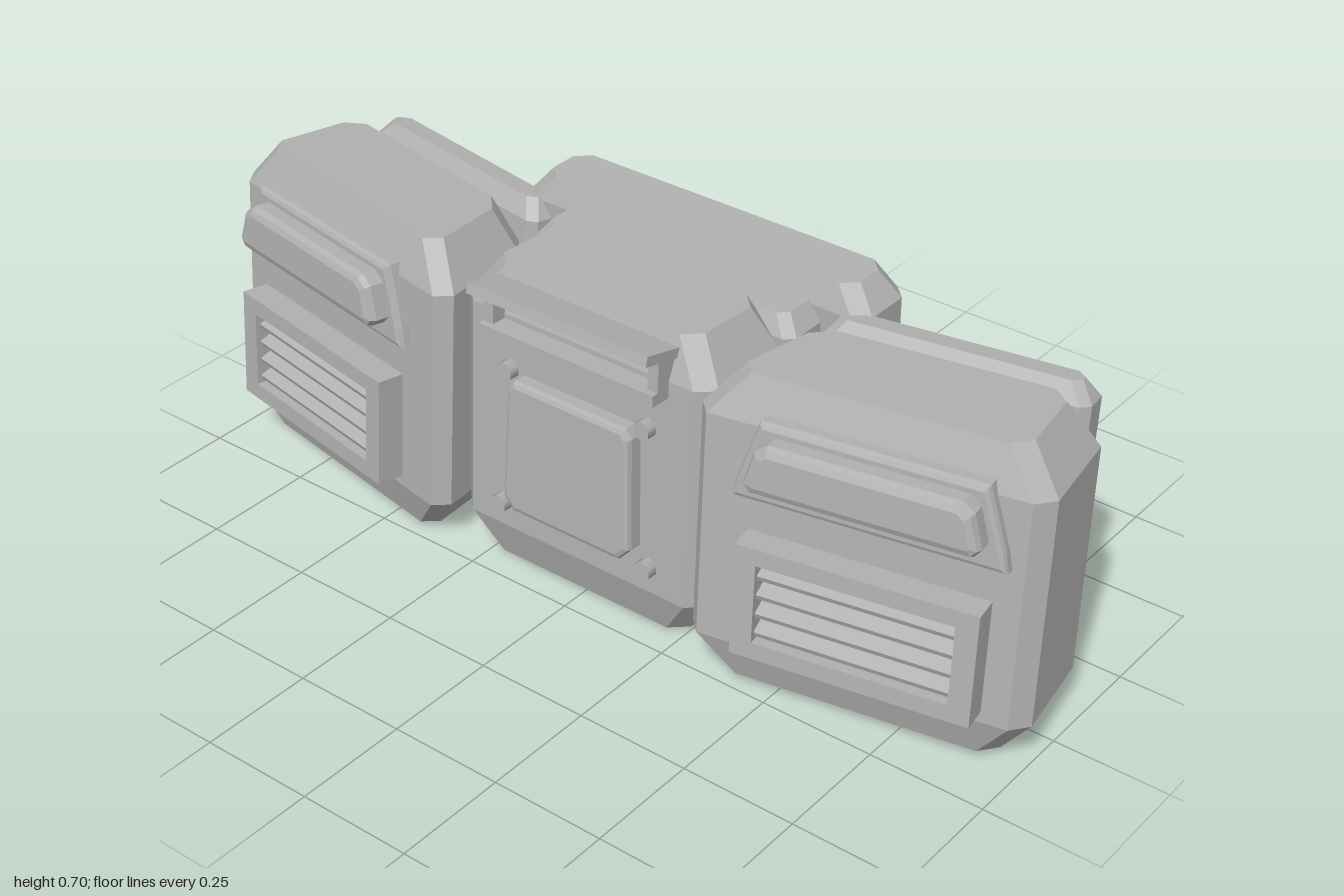
import * as THREE from 'three';

const grey = new THREE.MeshStandardMaterial({ color: 0xb2b2b2 });
grey.name = 'plain grey';

// Block with cut vertical corners and sloping top and bottom edges.
// skew narrows the -x end towards the back.
function block(w, h, d, cut, slopeX, slopeY, slopeZ, skew = 0) {
  const loop = (y, a, b) => [
    [a, b - cut], [a, cut - b], [a - cut, -b], [cut - a, -b],
    [-a, cut - b], [-a, b - cut], [cut - a, b], [a - cut, b],
  ].map(([x, z]) => [x < 0 ? x - z * skew : x, y, z]);
  const a = w / 2, b = d / 2, t = h / 2;
  const loops = [
    loop(-t, a - slopeX, b - slopeZ), loop(-t + slopeY, a, b),
    loop(t - slopeY, a, b), loop(t, a - slopeX, b - slopeZ),
  ];
  const pos = [];
  const tri = (...p) => p.forEach((q) => pos.push(...q));
  for (let k = 0; k < 3; k++) {
    for (let i = 0; i < 8; i++) {
      const j = (i + 1) % 8, lo = loops[k], hi = loops[k + 1];
      tri(lo[i], lo[j], hi[j]);
      tri(lo[i], hi[j], hi[i]);
    }
  }
  for (let i = 1; i < 7; i++) {
    tri(loops[3][0], loops[3][i], loops[3][i + 1]);
    tri(loops[0][0], loops[0][i + 1], loops[0][i]);
  }
  const g = new THREE.BufferGeometry();
  g.setAttribute('position', new THREE.Float32BufferAttribute(pos, 3));
  g.computeVertexNormals();
  return g;
}

const outline = (pts) => new THREE.Shape(pts.map(([x, y]) => new THREE.Vector2(x, y)));

// Raised panel, back at z = 0, with bevelled front edge
function panel(pts, depth, bevel) {
  const g = new THREE.ExtrudeGeometry(outline(pts), {
    depth: depth - bevel, bevelEnabled: bevel > 0, bevelSize: bevel,
    bevelThickness: bevel, bevelOffset: -bevel, bevelSegments: 2,
  });
  return g;
}

function add(parent, name, geo, x, y, z, rx = 0) {
  const m = new THREE.Mesh(geo, grey);
  m.name = name;
  m.position.set(x, y, z);
  m.rotation.x = rx;
  parent.add(m);
  return m;
}

function group(parent, name, x, y, z, rx = 0, ry = 0) {
  const g = new THREE.Group();
  g.name = name;
  g.position.set(x, y, z);
  g.rotation.set(rx, ry, 0, 'YXZ');
  parent.add(g);
  return g;
}

const disc = (r, len, sides) => new THREE.CylinderGeometry(r, r, len, sides).rotateX(Math.PI / 2);

// Mirrors a geometry in x and keeps its faces outward
function mirrored(geo) {
  const g = geo.index ? geo.toNonIndexed() : geo.clone();
  g.scale(-1, 1, 1);
  const p = g.attributes.position;
  for (let i = 0; i < p.count; i += 3) {
    const v = new THREE.Vector3().fromBufferAttribute(p, i + 1);
    p.setXYZ(i + 1, p.getX(i + 2), p.getY(i + 2), p.getZ(i + 2));
    p.setXYZ(i + 2, v.x, v.y, v.z);
  }
  g.computeVertexNormals();
  return g;
}

function buildSide(root, s) {
  const put = (parent, name, geo, x, y, z, rx = 0) =>
    add(parent, name, s < 0 ? mirrored(geo) : geo, s * x, y, z, rx);
  const side = s > 0 ? 'left' : 'right';

  // Front pouch, turned outward and leaning back
  const pouch = group(root, side + 'Pouch', s * 0.655, 0.35, 0.045, -0.06, s * 0.185);
  put(pouch, 'pouchBody', block(0.67, 0.67, 0.29, 0.035, 0.065, 0.09, 0.03, 0.3), 0, 0, 0);

  // Lamp and its bezel
  put(pouch, 'lampBezel', panel([[-0.275, -0.085], [0.275, -0.085], [0.265, -0.04],
    [0.225, 0.085], [-0.225, 0.085], [-0.265, -0.04]], 0.05, 0.012), 0, 0.185, 0.122);
  put(pouch, 'lamp', panel([[-0.22, -0.053], [0.22, -0.053], [0.235, -0.035], [0.215, 0.035],
    [0.19, 0.053], [-0.19, 0.053], [-0.215, 0.035], [-0.235, -0.035]], 0.08, 0.018), 0, 0.195, 0.14);

  // Vent frame with slats
  const frame = outline([[-0.245, -0.122], [0.245, -0.122], [0.245, 0.122], [-0.245, 0.122]]);
  frame.holes.push(new THREE.Path([[-0.2, -0.086], [-0.2, 0.086], [0.2, 0.086], [0.2, -0.086]]
    .map(([x, y]) => new THREE.Vector2(x, y))));
  const vent = group(pouch, 'vent', 0, -0.1, 0);
  put(vent, 'ventFrame', new THREE.ExtrudeGeometry(frame, { depth: 0.095, bevelEnabled: false }), 0, 0, 0.11);
  for (let i = 0; i < 4; i++) {
    put(vent, 'ventSlat', new THREE.BoxGeometry(0.4, 0.012, 0.05), 0, -0.063 + i * 0.042, 0.17, 0.4);
  }

  // Rear plate with lower strip, spacers and hex bolt
  const rear = group(root, side + 'RearPlate', s * 0.63, 0.36, -0.155, -0.115, s * 0.175);
  put(rear, 'rearPlateBody', block(0.55, 0.59, 0.09, 0.018, 0.03, 0.04, 0.022), 0, 0, 0);
  put(rear, 'rearLowerStrip', block(0.42, 0.16, 0.1, 0.018, 0.02, 0.035, 0.02), -0.05, -0.235, 0.01);
  put(rear, 'rearBolt', disc(0.062, 0.03, 6), 0.2, -0.2, -0.055);
  put(rear, 'rearBoltHead', disc(0.038, 0.012, 6), 0.2, -0.2, -0.072);
  for (const y of [0.155, -0.165]) put(rear, 'spacer', disc(0.078, 0.05, 24), 0.18, y, 0.058);
}

export function createModel() {
  const root = new THREE.Group();
  root.name = 'beltPack';
  buildSide(root, 1);
  buildSide(root, -1);

  // Centre pouch
  const centre = group(root, 'centrePouch', 0, 0.346, 0.066, -0.05);
  add(centre, 'centreBody', block(0.62, 0.67, 0.272, 0.035, 0.06, 0.09, 0.03), 0, 0, 0);
  add(centre, 'centrePanel', panel([[-0.135, -0.15], [0.135, -0.15], [0.163, -0.12], [0.155, 0.13],
    [0.14, 0.15], [-0.14, 0.15], [-0.155, 0.13], [-0.163, -0.12]], 0.05, 0.012), 0, -0.025, 0.125);
  for (const s of [1, -1]) {
    add(centre, 'panelBolt', disc(0.021, 0.03, 6), s * 0.173, 0.13, 0.145);
    add(centre, 'panelBolt', disc(0.021, 0.03, 6), s * 0.187, -0.185, 0.145);
    add(centre, 'visorCheek', new THREE.BoxGeometry(0.025, 0.09, 0.06), s * 0.205, 0.265, 0.14);
  }
  // Visor above the panel
  add(centre, 'visorTop', new THREE.BoxGeometry(0.445, 0.022, 0.1), 0, 0.312, 0.165, -0.2);
  add(centre, 'visorBar', new THREE.BoxGeometry(0.435, 0.025, 0.06), 0, 0.222, 0.155);

  // Rear case and the bridge joining it to the centre
  add(root, 'bridge', block(0.66, 0.61, 0.14, 0.02, 0.03, 0.04, 0.02), 0, 0.35, -0.115);
  add(root, 'rearCase', block(0.86, 0.69, 0.16, 0.03, 0.045, 0.055, 0.02), 0, 0.357, -0.225);
  return root;
}
